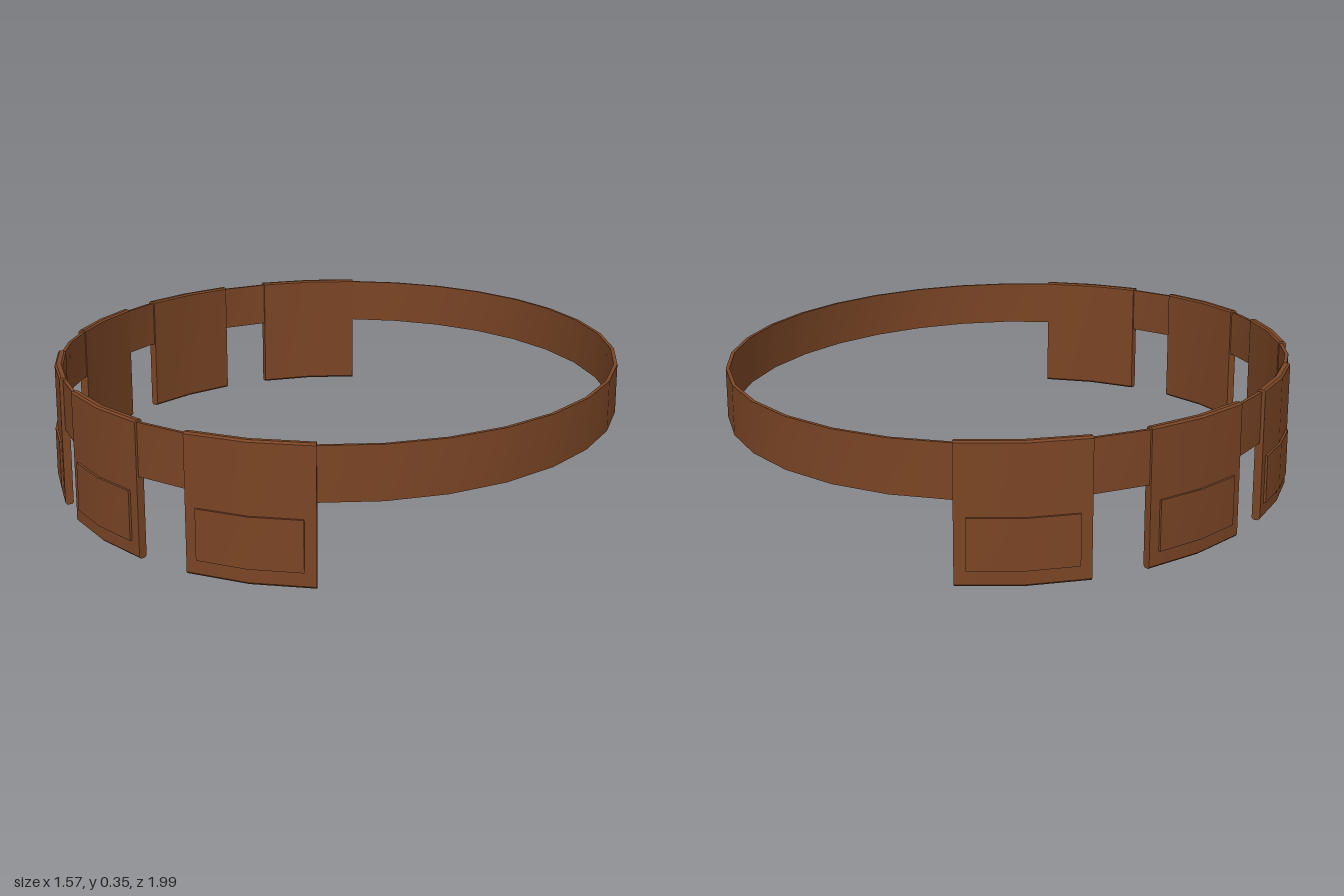
import * as THREE from 'three';
import { toCreasedNormals } from 'three/addons/utils/BufferGeometryUtils.js';

const A = 0.78, B = 0.98; // half axes of the belt's centre line

// Point on the oval and its outward normal; 0 degrees is the -x side
function station(degrees) {
  const t = THREE.MathUtils.degToRad(degrees);
  const p = new THREE.Vector2(-A * Math.cos(t), B * Math.sin(t));
  const n = new THREE.Vector2(p.x / (A * A), p.y / (B * B)).normalize();
  return { p, n };
}

function between(s, e, f) {
  return { p: s.p.clone().lerp(e.p, f), n: s.n.clone().lerp(e.n, f).normalize() };
}

// Sweep a counter-clockwise [outward offset, y] profile along the stations
function sweep(stations, profile, closed = false) {
  const rings = stations.map(({ p, n }) =>
    profile.map(([o, y]) => [p.x + n.x * o, y, p.y + n.y * o]));
  const pos = [];
  const tri = (...corners) => corners.forEach((c) => pos.push(...c));
  const count = profile.length;
  const spans = closed ? rings.length : rings.length - 1;
  for (let s = 0; s < spans; s++) {
    const a = rings[s], b = rings[(s + 1) % rings.length];
    for (let k = 0; k < count; k++) {
      const m = (k + 1) % count;
      tri(a[k], b[k], b[m]);
      tri(a[k], b[m], a[m]);
    }
  }
  if (!closed) {
    const first = rings[0], last = rings[rings.length - 1];
    for (let k = 1; k < count - 1; k++) {
      tri(first[0], first[k], first[k + 1]);
      tri(last[0], last[k + 1], last[k]);
    }
  }
  const geo = new THREE.BufferGeometry();
  geo.setAttribute('position', new THREE.Float32BufferAttribute(pos, 3));
  return toCreasedNormals(geo, 0.6);
}

const slab = (inner, outer, y0, y1) => [[inner, y0], [outer, y0], [outer, y1], [inner, y1]];

export function createModel() {
  const model = new THREE.Group();
  const leather = new THREE.MeshStandardMaterial({ color: 0x7a4525 });
  leather.name = 'brown leather';

  const add = (parent, name, geo) => {
    const mesh = new THREE.Mesh(geo, leather);
    mesh.name = name;
    parent.add(mesh);
  };

  // Oval belt band
  const ring = Array.from({ length: 32 }, (_, i) => station(i * 11.25));
  add(model, 'beltBand', sweep(ring, slab(-0.005, 0.005, 0.21, 0.345), true));

  // Pouch section with small chamfers at top and bottom
  const h = 0.011, c = 0.005, low = 0.002, high = 0.351;
  const pouchProfile = [
    [-h + c, low], [h - c, low], [h, low + c], [h, high - c],
    [h - c, high], [-h + c, high], [-h, high - c], [-h, low + c],
  ];

  // Three pouches on each half, wrapped over the band and bent at the middle
  const pouches = [[7.6, 17, 26.5], [35, 45.5, 56.3], [66.8, 78.4, 90]];
  for (const side of [1, -1]) {
    for (const angles of pouches) {
      const path = angles.map((d) => station(d * side));
      if (side < 0) path.reverse();
      const pouch = new THREE.Group();
      pouch.name = 'pouch';
      add(pouch, 'pouchBody', sweep(path, pouchProfile));

      // Raised panel on the outer face
      const [s, m, e] = path;
      const panelPath = [between(s, m, 0.18), m, between(e, m, 0.18)];
      add(pouch, 'pouchPanel', sweep(panelPath, slab(h - 0.002, h + 0.006, 0.042, 0.17)));
      model.add(pouch);
    }
  }
  return model;
}
